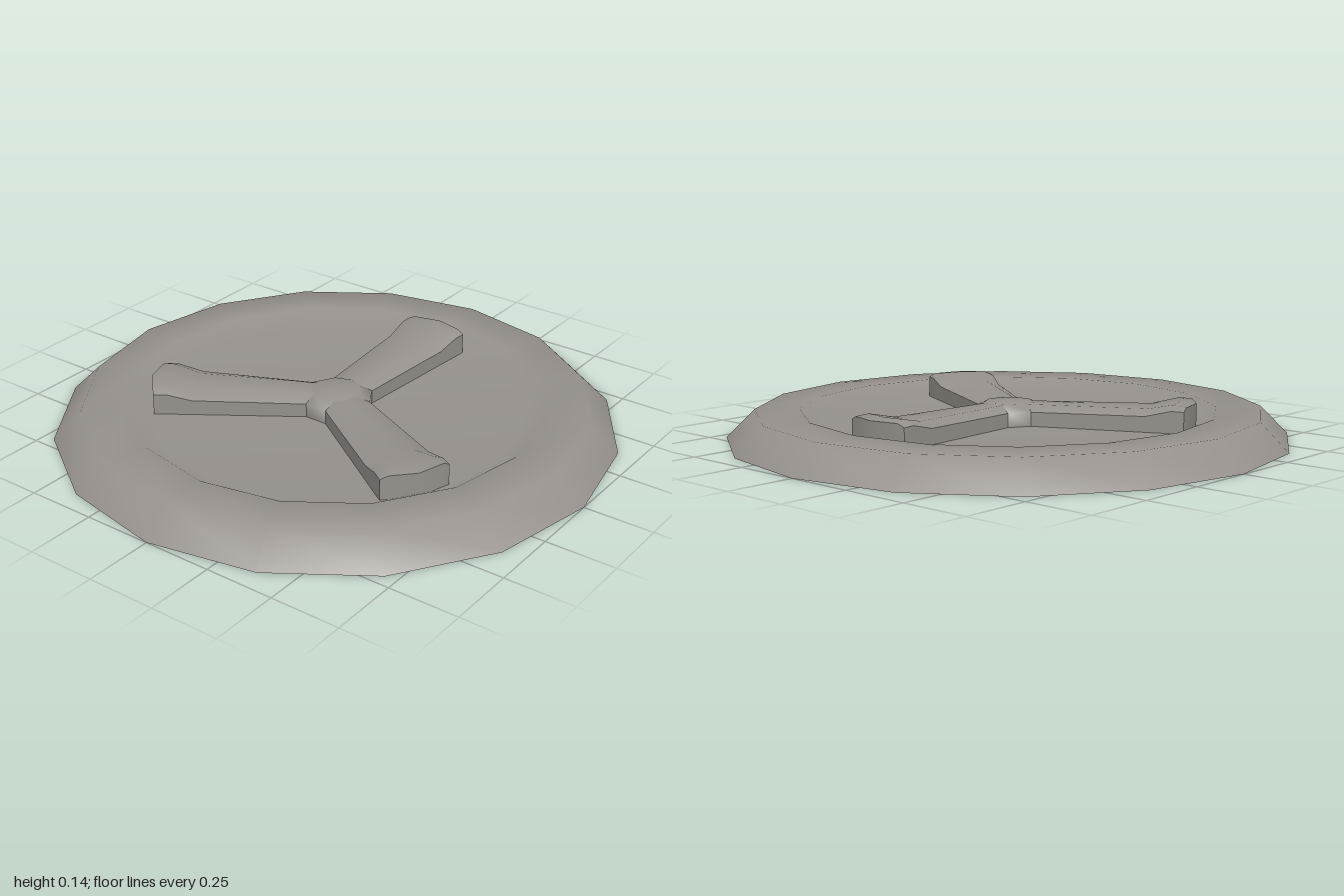
import * as THREE from 'three';
import { toCreasedNormals } from 'three/addons/utils/BufferGeometryUtils.js';

const FLOOR = 0.05;

// Flared spoke along +x, lofted from cross-sections with a chevron end.
function spokeGeometry() {
  // radius, half width, shoulder height, top height, flat share of the top, chevron depth
  const stations = [
    [0.04, 0.08, 0.1, 0.121, 0.5, 0],
    [0.1, 0.085, 0.1, 0.121, 0.5, 0],
    [0.5, 0.115, 0.105, 0.123, 0.55, 0],
    [0.59, 0.122, 0.127, 0.144, 0.7, 0.02],
    [0.635, 0.125, 0.126, 0.138, 0.8, 0.03],
  ];
  const n = 8, pos = [], idx = [];
  for (const [r, w, s, t, k, d] of stations) {
    const section = [[-1, FLOOR], [-1, s], [-k, t], [0, t], [k, t], [1, s], [1, FLOOR], [0, FLOOR]];
    for (const [u, y] of section) pos.push(r + d * (1 - Math.abs(u)), y, u * w);
  }
  for (let i = 0; i < stations.length - 1; i++) {
    for (let j = 0; j < n; j++) {
      const a = i * n + j, d = i * n + (j + 1) % n;
      idx.push(a, d, d + n, a, d + n, a + n);
    }
  }
  const e = (stations.length - 1) * n;
  for (let j = 0; j < 6; j++) idx.push(e + 7, e + j, e + j + 1);
  const g = new THREE.BufferGeometry();
  g.setAttribute('position', new THREE.Float32BufferAttribute(pos, 3));
  g.setIndex(idx);
  return toCreasedNormals(g, 0.95);
}

export function createModel() {
  const model = new THREE.Group();
  const grey = new THREE.MeshStandardMaterial({ name: 'warmGrey', color: 0x96918c, side: THREE.DoubleSide });
  const pale = new THREE.MeshStandardMaterial({ name: 'paleGrey', color: 0xd2cfc8, side: THREE.DoubleSide });
  const add = (name, geometry, material, parent = model) => {
    const mesh = new THREE.Mesh(geometry, material);
    mesh.name = name;
    parent.add(mesh);
    return mesh;
  };
  const lathe = (points, sides) =>
    new THREE.LatheGeometry(points.map(([x, y]) => new THREE.Vector2(x, y)), sides);

  // Thin dished disc with a raised rim
  add('dish', lathe([[1, 0], [0.9, 0.1], [0.74, 0.1], [0.66, FLOOR], [0, FLOOR]], 16), grey);

  // Three-spoke handle
  const handle = new THREE.Group();
  handle.name = 'handle';
  model.add(handle);
  const spoke = spokeGeometry();
  for (let i = 0; i < 3; i++) {
    add('spoke' + (i + 1), spoke, grey, handle).rotation.y = (i * Math.PI * 2) / 3;
  }
  const hub = lathe([[0.13, FLOOR], [0.13, 0.1], [0.085, 0.124], [0, 0.128]], 9).rotateY(Math.PI / 2);
  add('hub', hub, grey, handle);

  // Short open collar under the dish
  const collar = new THREE.CylinderGeometry(0.13, 0.13, 0.04, 9, 1, true).rotateY(Math.PI / 2);
  add('collar', collar, pale).position.y = 0.03;

  return model;
}
